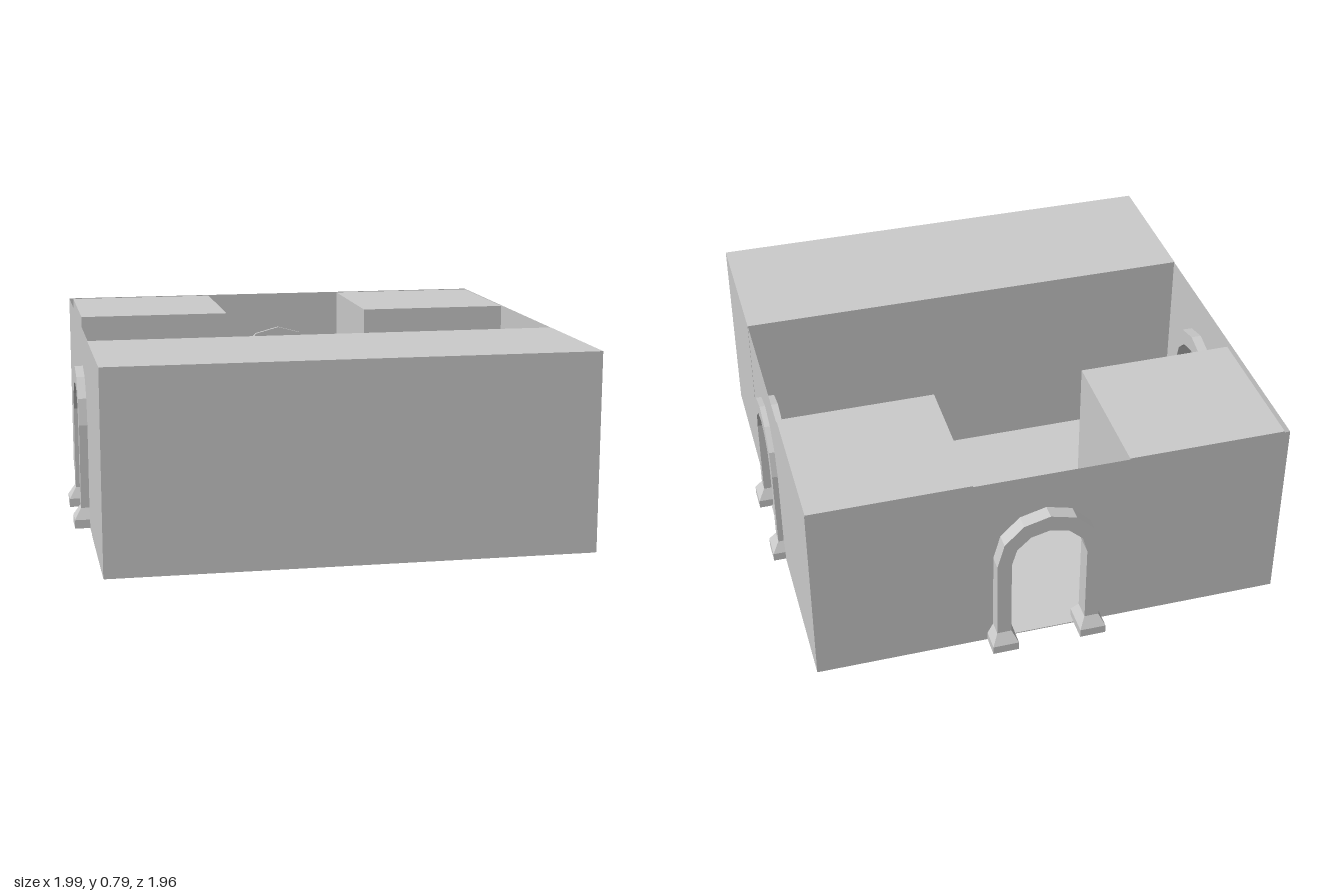
import * as THREE from 'three';

const grey = new THREE.MeshStandardMaterial({ color: 0xcccccc, flatShading: true });
const sheet = new THREE.MeshStandardMaterial({ color: 0xcccccc, flatShading: true, side: THREE.DoubleSide });

const WALL_HEIGHT = 0.785;
const SPRING = 0.42;      // height where the arch curve starts
const ARCH_DEPTH = 0.075;
const LEG_OFFSET = 0.178; // door centre to middle of a leg

function mesh(name, geometry, material = grey) {
  const m = new THREE.Mesh(geometry, material);
  m.name = name;
  return m;
}

// Box given by its extents
function block(name, [x0, x1], [y0, y1], [z0, z1]) {
  const m = mesh(name, new THREE.BoxGeometry(x1 - x0, y1 - y0, z1 - z0));
  m.position.set((x0 + x1) / 2, (y0 + y1) / 2, (z0 + z1) / 2);
  return m;
}

// Door outline from left foot over the curve to right foot
function doorOutline(rx, ry, bottom) {
  const points = [new THREE.Vector2(-rx, bottom)];
  const segments = 6;
  for (let i = 0; i <= segments; i++) {
    const a = Math.PI * (1 - i / segments);
    points.push(new THREE.Vector2(rx * Math.cos(a), SPRING + ry * Math.sin(a)));
  }
  points.push(new THREE.Vector2(rx, bottom));
  return points;
}

// Thin wall with an arched doorway centred on local x = 0
function wallSheet(from, to) {
  const shape = new THREE.Shape([
    new THREE.Vector2(from, 0),
    ...doorOutline(LEG_OFFSET, 0.175, 0),
    new THREE.Vector2(to, 0),
    new THREE.Vector2(to, WALL_HEIGHT),
    new THREE.Vector2(from, WALL_HEIGHT),
  ]);
  return mesh('wall', new THREE.ShapeGeometry(shape), sheet);
}

// Foot of a door frame: straight plinth tapering up to the leg
function frameFoot(x) {
  const geometry = new THREE.BoxGeometry(0.104, 0.08, 0.13, 1, 2, 1);
  const p = geometry.attributes.position;
  for (let i = 0; i < p.count; i++) {
    const y = p.getY(i);
    if (y > 0.01) p.setXYZ(i, p.getX(i) * 0.55, 0.08, p.getZ(i) * 0.58);
    else p.setY(i, y < -0.01 ? 0 : 0.035);
  }
  geometry.computeVertexNormals();
  const foot = mesh('frameFoot', geometry);
  foot.position.x = x;
  return foot;
}

function doorFrame() {
  const frame = new THREE.Group();
  frame.name = 'doorFrame';
  const shape = new THREE.Shape([
    ...doorOutline(0.207, 0.207, 0.03),
    ...doorOutline(0.15, 0.14, 0.03).reverse(),
  ]);
  const arch = mesh('arch', new THREE.ExtrudeGeometry(shape, { depth: ARCH_DEPTH, bevelEnabled: false }));
  arch.position.z = -ARCH_DEPTH / 2;
  frame.add(arch, frameFoot(-LEG_OFFSET), frameFoot(LEG_OFFSET));
  return frame;
}

// Wall and frame, local +z pointing outdoors
function doorWall(name, from, to, position, turn, frameZ) {
  const group = new THREE.Group();
  group.name = name;
  const frame = doorFrame();
  frame.position.z = frameZ;
  group.add(wallSheet(from, to), frame);
  group.position.set(...position);
  group.rotation.y = turn;
  return group;
}

export function createModel() {
  const model = new THREE.Group();
  model.name = 'walledCourtyard';

  model.add(block('floor', [-0.937, 0.945], [0, 0.004], [-0.9, 0.97]));

  // Solid blocks at the front and in the back corners
  const rise = [0.004, WALL_HEIGHT];
  model.add(
    block('frontBlock', [-0.94, 0.946], rise, [0.37, 0.977]),
    block('backRightBlock', [-0.92, -0.295], [0.004, 0.783], [-0.892, -0.3]),
    block('backLeftBlock', [0.315, 0.942], [0.004, 0.783], [-0.892, -0.3]),
  );

  // Walls with arched doorways
  model.add(
    doorWall('leftWall', -0.357, 0.915, [0.945, 0, 0.015], Math.PI / 2, -0.015),
    doorWall('rightWall', -0.915, 0.357, [-0.938, 0, 0.015], -Math.PI / 2, -0.004),
    doorWall('backWall', -0.912, 0.971, [0.033, 0, -0.9], Math.PI, 0.021),
  );
  return model;
}
